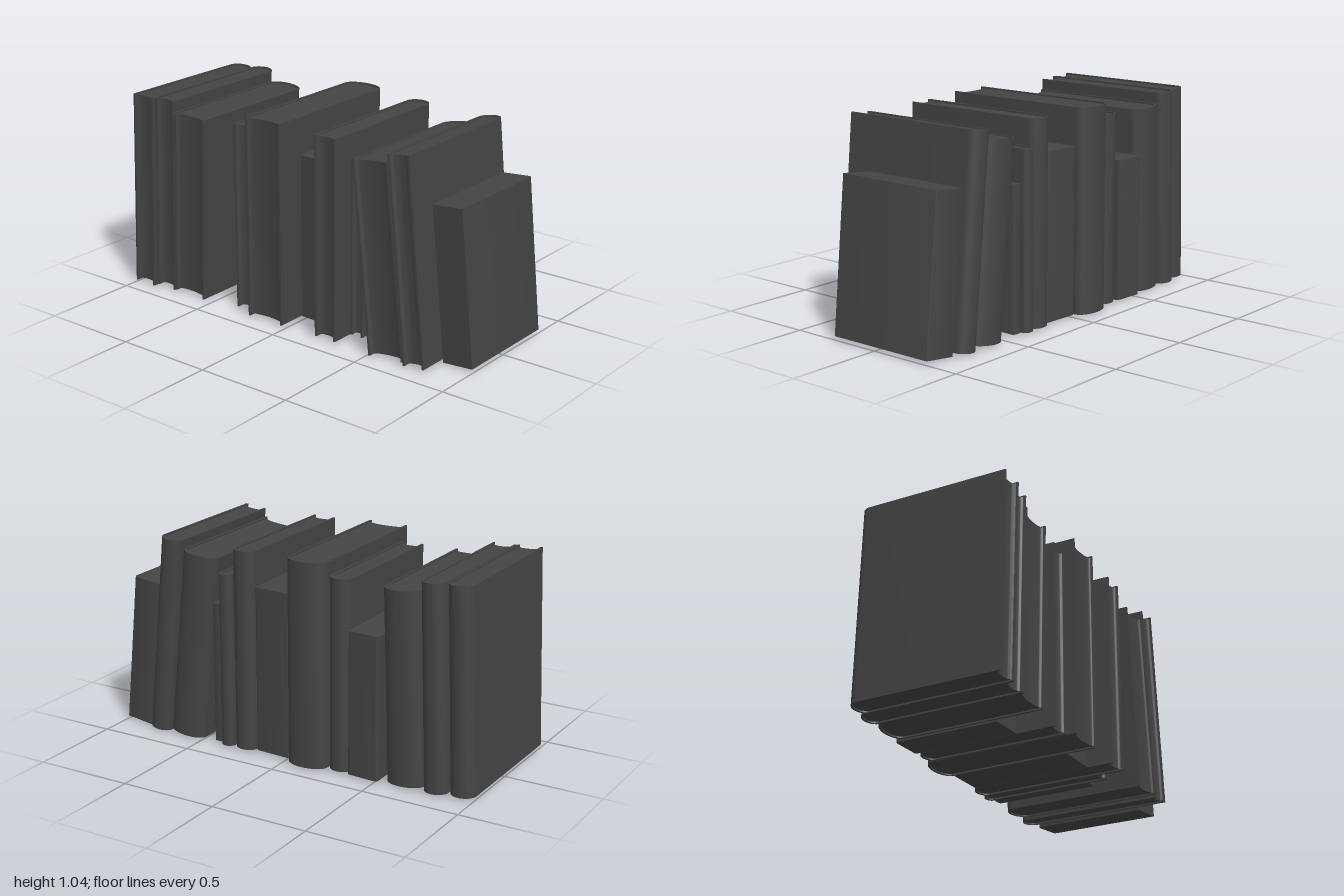
import * as THREE from 'three';
import { toCreasedNormals } from 'three/addons/utils/BufferGeometryUtils.js';

const material = new THREE.MeshStandardMaterial({ color: 0x444444, side: THREE.DoubleSide });
const COVER = 0.01; // board thickness
const INSET = 0.008; // pages sit below the boards at head and tail

// Plan outline (x, thickness) raised to a standing block
function raise(shape, height, name) {
  const geo = new THREE.ExtrudeGeometry(shape, { depth: height, bevelEnabled: false, curveSegments: 16 });
  geo.rotateX(-Math.PI / 2);
  const mesh = new THREE.Mesh(toCreasedNormals(geo, 0.6), material);
  mesh.name = name;
  return mesh;
}

// Hardcover: U-shaped case with rounded spine, plus pages with a hollow fore-edge
function hardcover(x0, x1, t, height) {
  const book = new THREE.Group();
  const h = t / 2, hi = h - COVER;
  const bulge = Math.min(0.06, h * 0.85);
  const xs = x1 - bulge;

  const cover = new THREE.Shape();
  cover.moveTo(x0, -h);
  cover.lineTo(xs, -h);
  cover.absellipse(xs, 0, bulge, h, -Math.PI / 2, Math.PI / 2, false);
  cover.lineTo(x0, h);
  cover.lineTo(x0, hi);
  cover.lineTo(xs, hi);
  cover.absellipse(xs, 0, bulge - COVER, hi, Math.PI / 2, -Math.PI / 2, true);
  cover.lineTo(x0, -hi);
  cover.closePath();
  book.add(raise(cover, height, 'cover'));

  const xp = x0 + 0.008, hollow = Math.min(0.022, hi * 0.6);
  const pages = new THREE.Shape();
  pages.moveTo(xp, -hi);
  pages.lineTo(xs, -hi);
  pages.absellipse(xs, 0, bulge - COVER, hi, -Math.PI / 2, Math.PI / 2, false);
  pages.lineTo(xp, hi);
  pages.absellipse(xp, 0, hollow, hi, Math.PI / 2, -Math.PI / 2, true);
  const block = raise(pages, height - 2 * INSET, 'pages');
  block.position.y = INSET;
  book.add(block);
  return book;
}

// Paperback: solid block, slightly skewed, with softened spine corners
function paperback(x0, x1, t, height, skew) {
  const book = new THREE.Group();
  const h = t / 2, r = Math.min(0.014, h * 0.5);
  const s = new THREE.Shape();
  s.moveTo(x0, -h);
  s.lineTo(x1 - r, -h);
  s.quadraticCurveTo(x1, -h, x1, -h + r);
  s.lineTo(x1, h - r);
  s.quadraticCurveTo(x1, h, x1 - r, h);
  s.lineTo(x0, h);
  s.closePath();
  const mesh = raise(s, height, 'paperBlock');
  mesh.geometry.applyMatrix4(new THREE.Matrix4().set(
    1, 0, skew, 0,
    0, 1, 0, 0,
    0, 0, 1, 0,
    0, 0, 0, 1));
  mesh.geometry = toCreasedNormals(mesh.geometry, 0.6);
  book.add(mesh);
  return book;
}

// kind, z at foot (front, back), x fore-edge, x spine, height, lean
const BOOKS = [
  ['soft', 1.0, 0.83, -0.255, 0.33, 0.77, -0.103],
  ['hard', 0.825, 0.705, -0.4, 0.385, 1.02, -0.1],
  ['hard', 0.705, 0.505, -0.4, 0.38, 0.96, -0.105],
  ['soft', 0.43, 0.378, -0.18, 0.355, 0.72, 0],
  ['hard', 0.378, 0.305, -0.28, 0.388, 0.885, 0],
  ['hard', 0.304, 0.182, -0.4, 0.385, 1.015, 0],
  ['soft', 0.18, -0.018, -0.26, 0.36, 0.84, 0],
  ['hard', -0.02, -0.232, -0.41, 0.425, 1.028, 0],
  ['hard', -0.235, -0.352, -0.36, 0.382, 0.96, 0],
  ['soft', -0.354, -0.52, -0.153, 0.388, 0.72, 0],
  ['hard', -0.545, -0.742, -0.4, 0.382, 0.955, 0.033],
  ['hard', -0.746, -0.868, -0.4, 0.385, 1.015, 0.033],
  ['hard', -0.87, -0.998, -0.425, 0.357, 1.015, 0.036],
];

export function createModel() {
  const row = new THREE.Group();
  row.name = 'bookRow';
  BOOKS.forEach(([kind, zf, zb, x0, x1, height, lean], i) => {
    const t = (zf - zb) * Math.cos(lean);
    const book = kind === 'hard'
      ? hardcover(x0, x1, t, height)
      : paperback(x0, x1, t, height, -0.06);
    book.name = (kind === 'hard' ? 'hardcover' : 'paperback') + (i + 1);
    book.position.set(0, 0.0105, (zf + zb) / 2);
    book.rotation.x = lean;
    row.add(book);
  });
  return row;
}
